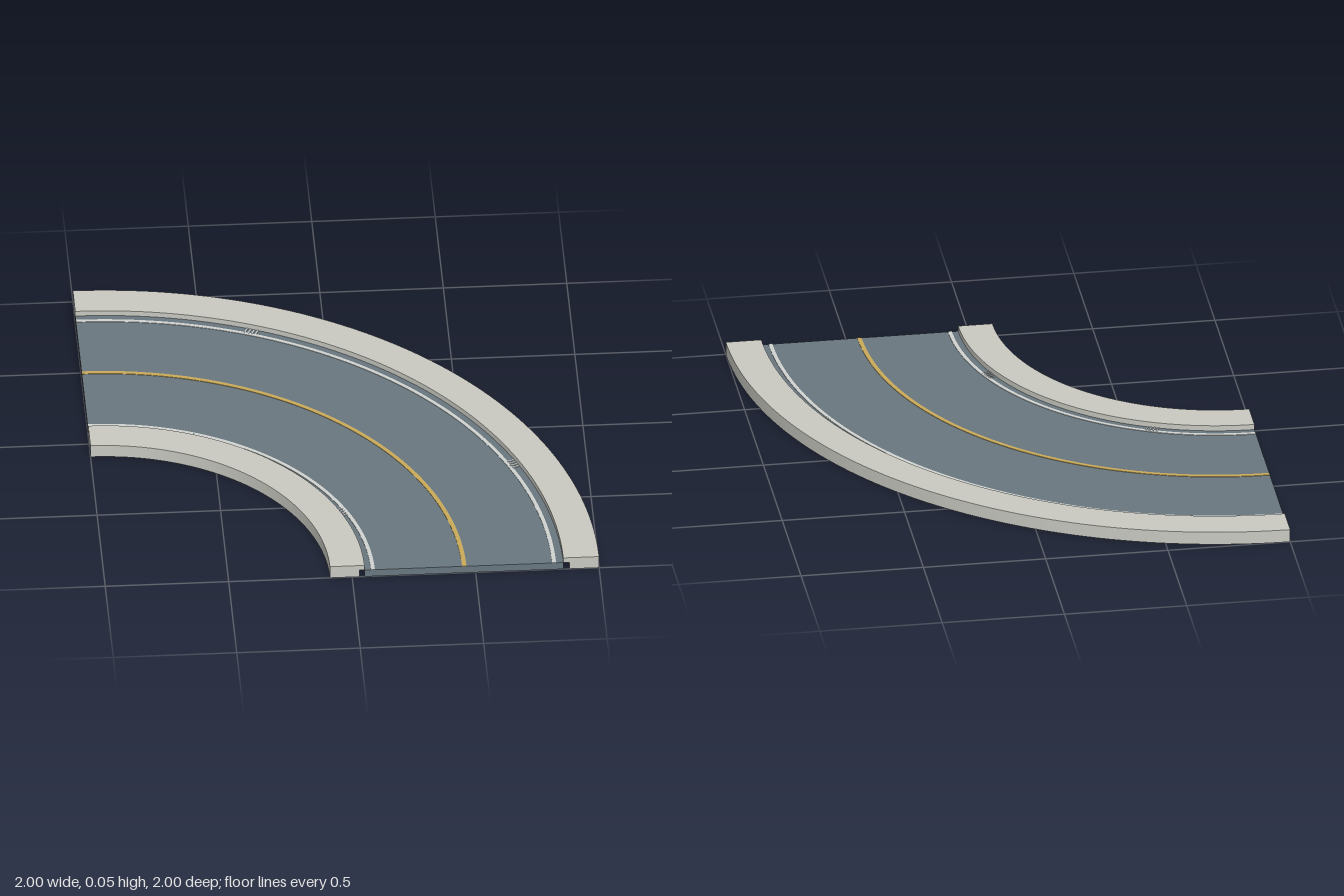
import * as THREE from 'three';
import { mergeGeometries, toCreasedNormals } from 'three/addons/utils/BufferGeometryUtils.js';

const flat = (name, color) => Object.assign(new THREE.MeshStandardMaterial({ color }), { name });

// Quarter-turn solid from a counter-clockwise (radius, height) profile, capped at both ends
function quarterSweep(profile) {
  const pts = profile.map(([r, y]) => new THREE.Vector2(r, y));
  const skin = new THREE.LatheGeometry([...pts, pts[0]], 64, Math.PI / 2, Math.PI / 2);
  const capA = new THREE.ShapeGeometry(new THREE.Shape(pts));
  const flipped = pts.map((p) => new THREE.Vector2(-p.x, p.y));
  const capB = new THREE.ShapeGeometry(new THREE.Shape(flipped)).rotateY(-Math.PI / 2);
  return mergeGeometries([toCreasedNormals(skin, 0.5), capA.toNonIndexed(), capB.toNonIndexed()]);
}

const band = (r0, r1, y0, y1) => [[r0, y0], [r1, y0], [r1, y1], [r0, y1]];

export function createModel() {
  const asphalt = flat('asphalt', 0x69777f);
  const concrete = flat('concrete', 0xc9c9c2);
  const white = flat('whitePaint', 0xcfd3d0);
  const yellow = flat('yellowPaint', 0xc9aa58);

  const model = new THREE.Group();
  model.name = 'curvedRoad';
  const bend = new THREE.Group(); // origin at the centre of the curve
  bend.name = 'bend';
  bend.position.set(-1, 0, 1);
  model.add(bend);

  const add = (name, geometry, material) => {
    const mesh = new THREE.Mesh(geometry, material);
    mesh.name = name;
    bend.add(mesh);
    return mesh;
  };

  const roadTop = 0.032, walkTop = 0.055;

  // Road slab
  add('roadSurface', quarterSweep(band(1.05, 1.855, 0, roadTop)), asphalt);

  // Sidewalks, each with a curb lip hanging over a narrow gap beside the road
  add('innerSidewalk', quarterSweep([
    [0.91, 0], [1.03, 0], [1.03, roadTop], [1.05, roadTop], [1.05, walkTop], [0.91, walkTop],
  ]), concrete);
  add('outerSidewalk', quarterSweep([
    [1.88, 0], [2, 0], [2, walkTop], [1.855, walkTop], [1.855, roadTop], [1.88, roadTop],
  ]), concrete);

  // Painted lines
  const line = (name, r0, r1, material) =>
    add(name, quarterSweep(band(r0, r1, roadTop, roadTop + 0.002)), material);
  line('innerEdgeLine', 1.076, 1.092, white);
  line('centreLine', 1.445, 1.463, yellow);
  line('outerEdgeLine', 1.81, 1.826, white);

  // Drain grates in the gutters: four slim bars each
  const bar = new THREE.BoxGeometry(0.032, 0.003, 0.006);
  for (const [side, r] of [['inner', 1.067], ['outer', 1.838]]) {
    for (const angle of [Math.PI / 8, 3 * Math.PI / 8]) {
      for (let i = 0; i < 4; i++) {
        const a = angle + (i - 1.5) * 0.015 / r;
        const mesh = add(side + 'DrainBar', bar, white);
        mesh.position.set(r * Math.cos(a), roadTop + 0.0015, -r * Math.sin(a));
        mesh.rotation.y = angle;
      }
    }
  }
  return model;
}
